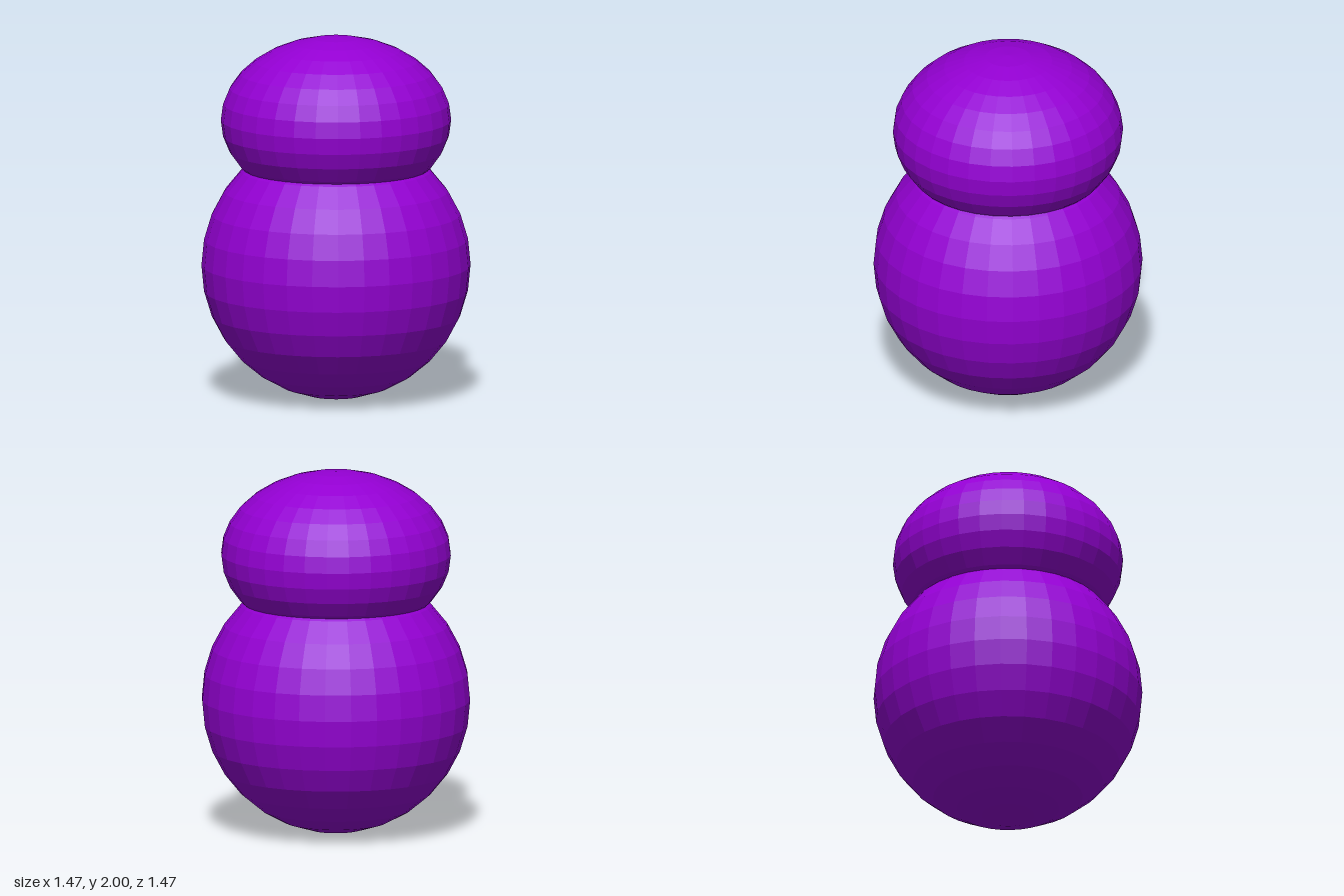
import * as THREE from 'three';

export function createModel() {
  const model = new THREE.Group();
  model.name = 'stackedFigure';
  const purple = new THREE.MeshStandardMaterial({ color: 0x9400d3, flatShading: true });

  // Faceted ellipsoid, round in plan
  function ball(name, radius, halfHeight, y) {
    const geometry = new THREE.SphereGeometry(1, 32, 16);
    geometry.scale(radius, halfHeight, radius);
    const mesh = new THREE.Mesh(geometry, purple);
    mesh.name = name;
    mesh.position.y = y;
    model.add(mesh);
  }

  // Round body, and a flattened head sunk into its top
  ball('body', 0.736, 0.736, 0.736);
  ball('head', 0.63, 0.46, 1.54);

  return model;
}
